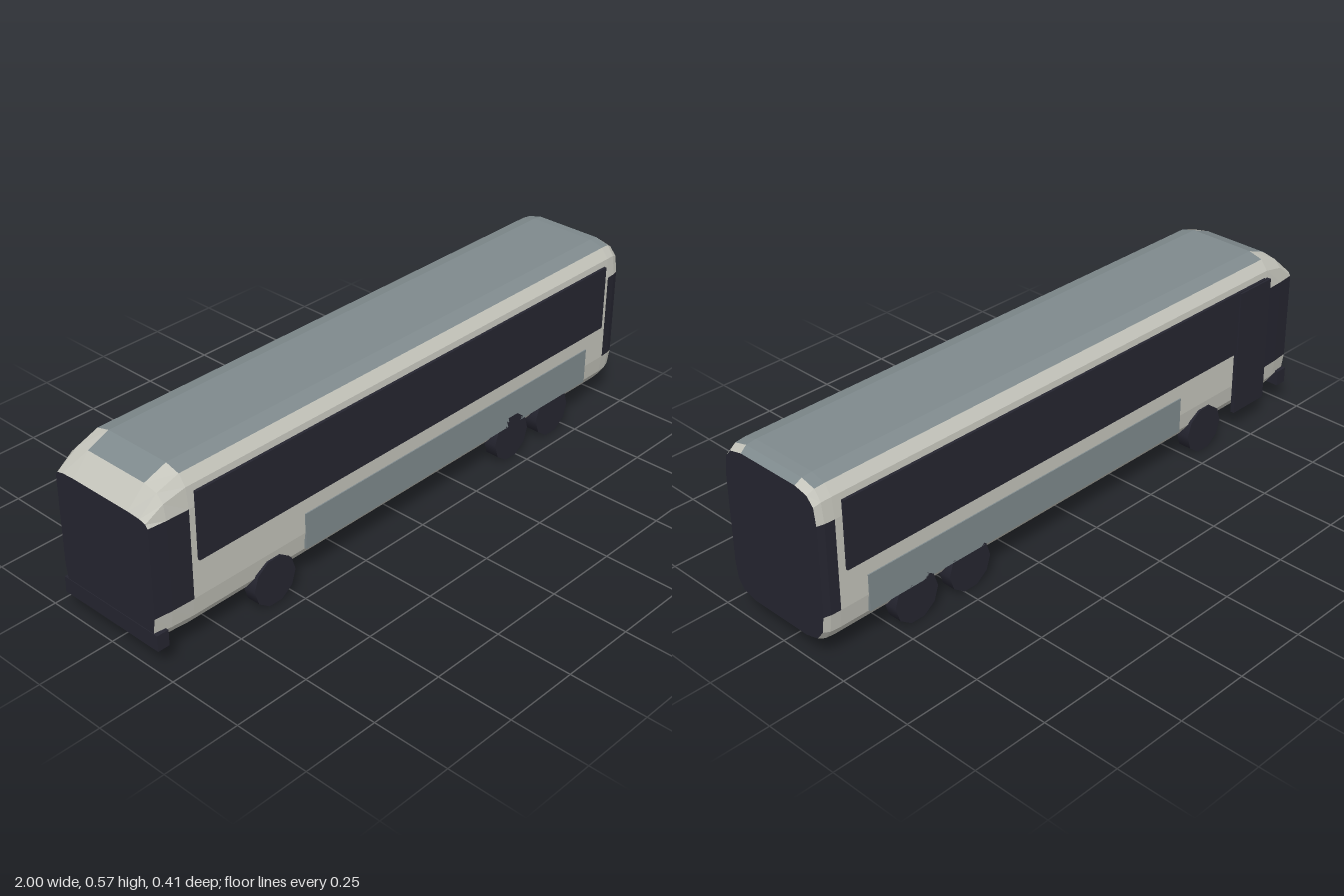
import * as THREE from 'three';

const paint = new THREE.MeshStandardMaterial({ name: 'paleGreyPaint', color: 0xc4c4bb });
const panelGrey = new THREE.MeshStandardMaterial({ name: 'slateGreyPanel', color: 0x7f8a8d });
const dark = new THREE.MeshStandardMaterial({ name: 'darkGlassAndRubber', color: 0x252530 });

// Half cross-section (z, y) from roof edge to floor edge; mirrored to close the ring
const half = [
  [0.115, 0.575], [0.163, 0.562], [0.187, 0.53], [0.195, 0.465],
  [0.195, 0.175], [0.187, 0.115], [0.163, 0.08], [0.115, 0.066],
];
const profile = [...half, ...half.slice().reverse().map(([z, y]) => [-z, y])];

// Stations along the length: x, width scale, upper and lower height scale
const stations = [
  [-0.998, 0.955, 0.18, 0.9],
  [-0.94, 0.985, 0.74, 0.96],
  [-0.865, 1, 1, 1],
  [0.945, 1, 1, 1],
  [0.978, 0.99, 0.97, 0.98],
  [1, 0.96, 0.83, 0.89],
];

function ringAt([x, w, up, low]) {
  return profile.map(([z, y]) => {
    let h = y;
    if (y > 0.465) h = 0.465 + (y - 0.465) * up;
    if (y < 0.175) h = 0.175 + (y - 0.175) * low;
    return [x, h, z * w];
  });
}

function facetMesh(name, material, triangles) {
  const geo = new THREE.BufferGeometry();
  geo.setAttribute('position', new THREE.Float32BufferAttribute(triangles.flat(), 3));
  geo.computeVertexNormals();
  const mesh = new THREE.Mesh(geo, material);
  mesh.name = name;
  return mesh;
}

// Faceted body shell, with its facets sorted by colour
function buildBody() {
  const shell = [], roof = [], cornerGlass = [], frontGlass = [], rearPanel = [];
  const rings = stations.map(ringAt);
  const n = profile.length;
  for (let i = 0; i < rings.length - 1; i++) {
    for (let j = 0; j < n; j++) {
      const k = (j + 1) % n;
      const a = rings[i][j], b = rings[i][k], c = rings[i + 1][k], d = rings[i + 1][j];
      const isGlass = (j === 3 || j === 11) && i !== 2;
      const isRoof = (j === 15 && i >= 1) || ((j === 0 || j === 14) && (i === 2 || i === 3));
      (isGlass ? cornerGlass : isRoof ? roof : shell).push(a, b, c, a, c, d);
    }
  }
  const first = rings[0], last = rings[rings.length - 1];
  for (let j = 1; j < n - 1; j++) {
    frontGlass.push(first[0], first[j + 1], first[j]);
    rearPanel.push(last[0], last[j], last[j + 1]);
  }
  const body = new THREE.Group();
  body.name = 'body';
  body.add(
    facetMesh('bodyShell', paint, shell),
    facetMesh('roofPanel', panelGrey, roof),
    facetMesh('cornerWindows', dark, cornerGlass),
    facetMesh('windshield', dark, frontGlass),
    facetMesh('rearPanel', dark, rearPanel),
  );
  return body;
}

// Box given by its limits on each axis
function box(name, material, [x0, x1], [y0, y1], [z0, z1]) {
  const mesh = new THREE.Mesh(new THREE.BoxGeometry(x1 - x0, y1 - y0, z1 - z0), material);
  mesh.position.set((x0 + x1) / 2, (y0 + y1) / 2, (z0 + z1) / 2);
  mesh.name = name;
  return mesh;
}

export function createModel() {
  const bus = new THREE.Group();
  bus.name = 'bus';
  const parts = new THREE.Group();
  parts.name = 'busParts';
  parts.position.z = 0.0035;
  bus.add(parts);
  parts.add(buildBody());

  // Ten-sided wheels with a vertex facing fore and aft
  const wheelGeo = new THREE.CylinderGeometry(0.08, 0.08, 0.046, 10);
  wheelGeo.rotateY(Math.PI / 2).rotateX(Math.PI / 2);

  for (const s of [1, -1]) {
    const side = s > 0 ? 'left' : 'right';
    const span = (a, b) => (s > 0 ? [a, b] : [-b, -a]);
    parts.add(box(side + 'WindowBand', dark, [-0.845, 0.92], [0.295, 0.514], span(0.1945, 0.2035)));
    parts.add(box(side + 'LuggagePanel', panelGrey, [-0.445, 0.848], [0.12, 0.24], span(0.19, 0.1985)));
    for (const x of [-0.57, 0.475, 0.68]) {
      const wheel = new THREE.Mesh(wheelGeo, dark);
      wheel.position.set(x, 0.0765, s * 0.1755);
      wheel.name = side + 'Wheel';
      parts.add(wheel);
    }
  }

  // Passenger door on one side only, and the front bumper
  parts.add(box('door', dark, [-0.86, -0.71], [0.079, 0.511], [-0.2095, -0.195]));
  parts.add(box('bumper', dark, [-1, -0.96], [0.073, 0.125], [-0.194, 0.194]));
  return bus;
}
